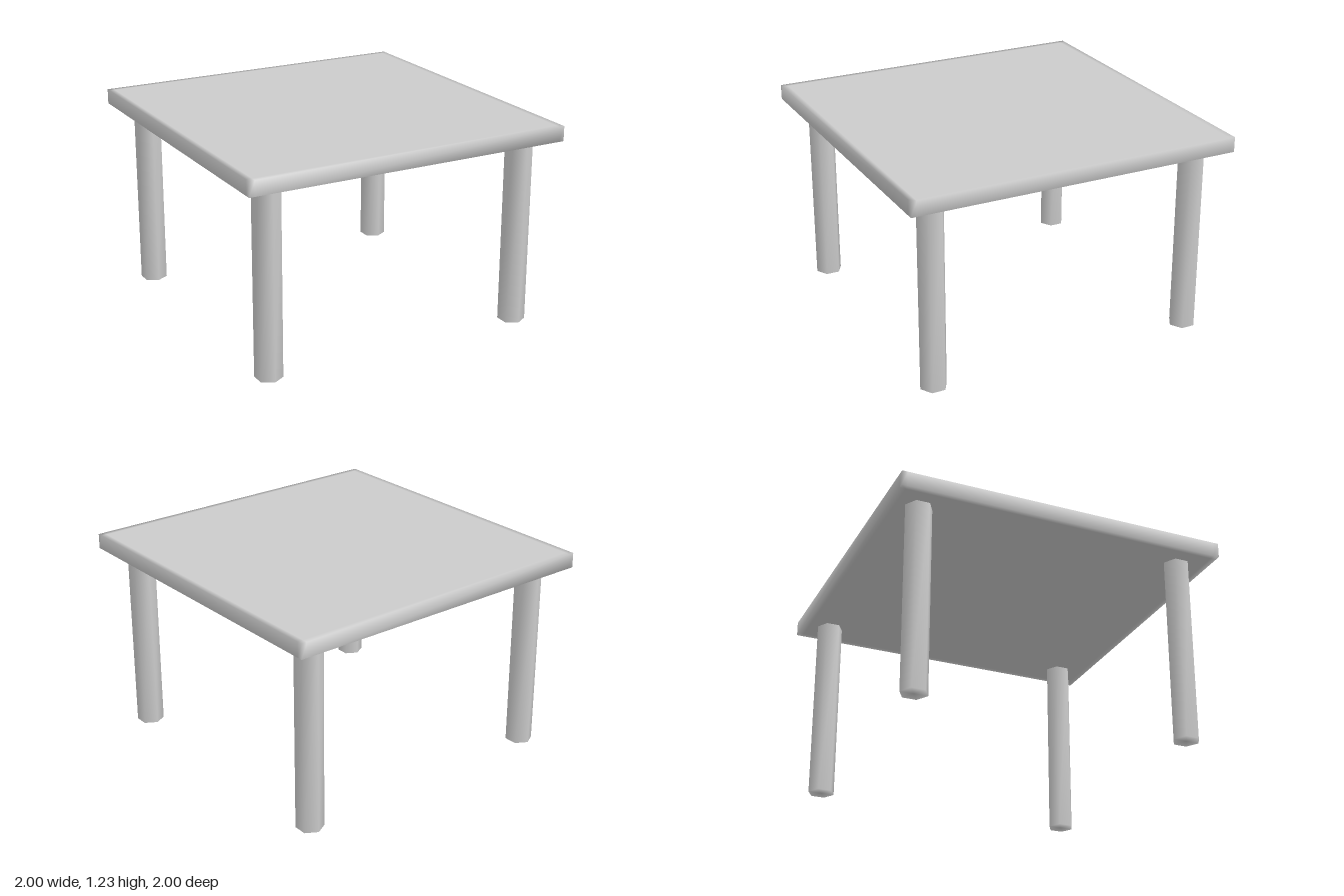
import * as THREE from 'three';
import { mergeVertices } from 'three/addons/utils/BufferGeometryUtils.js';

const LEG_HEIGHT = 1.14;
const TOP_THICKNESS = 0.09;

// Weld the corners so shading flows softly over the edges
function softEdges(geometry) {
  geometry.deleteAttribute('uv');
  geometry.deleteAttribute('normal');
  const welded = mergeVertices(geometry, 1e-4);
  welded.computeVertexNormals();
  return welded;
}

export function createModel() {
  const table = new THREE.Group();
  table.name = 'table';
  const material = new THREE.MeshStandardMaterial({ color: 0xcccccc });

  // Square top: inner grid lines pushed close to the rim keep the soft edge narrow
  const slab = new THREE.BoxGeometry(2, TOP_THICKNESS, 2, 3, 1, 3);
  const pos = slab.attributes.position;
  const toRim = (v) => (Math.abs(v) < 0.9 ? Math.sign(v) * 0.965 : v);
  for (let i = 0; i < pos.count; i++) {
    pos.setX(i, toRim(pos.getX(i)));
    pos.setZ(i, toRim(pos.getZ(i)));
  }
  const top = new THREE.Mesh(softEdges(slab), material);
  top.name = 'tableTop';
  top.position.y = LEG_HEIGHT + TOP_THICKNESS / 2;
  table.add(top);

  // Four hexagonal legs, one near each corner
  const legGeometry = softEdges(new THREE.CylinderGeometry(0.081, 0.081, LEG_HEIGHT, 6));
  for (const [xName, x] of [['Left', 0.823], ['Right', -0.812]]) {
    for (const [zName, z] of [['front', 0.815], ['back', -0.83]]) {
      const leg = new THREE.Mesh(legGeometry, material);
      leg.name = `${zName}${xName}Leg`;
      leg.position.set(x, LEG_HEIGHT / 2, z);
      table.add(leg);
    }
  }
  return table;
}
